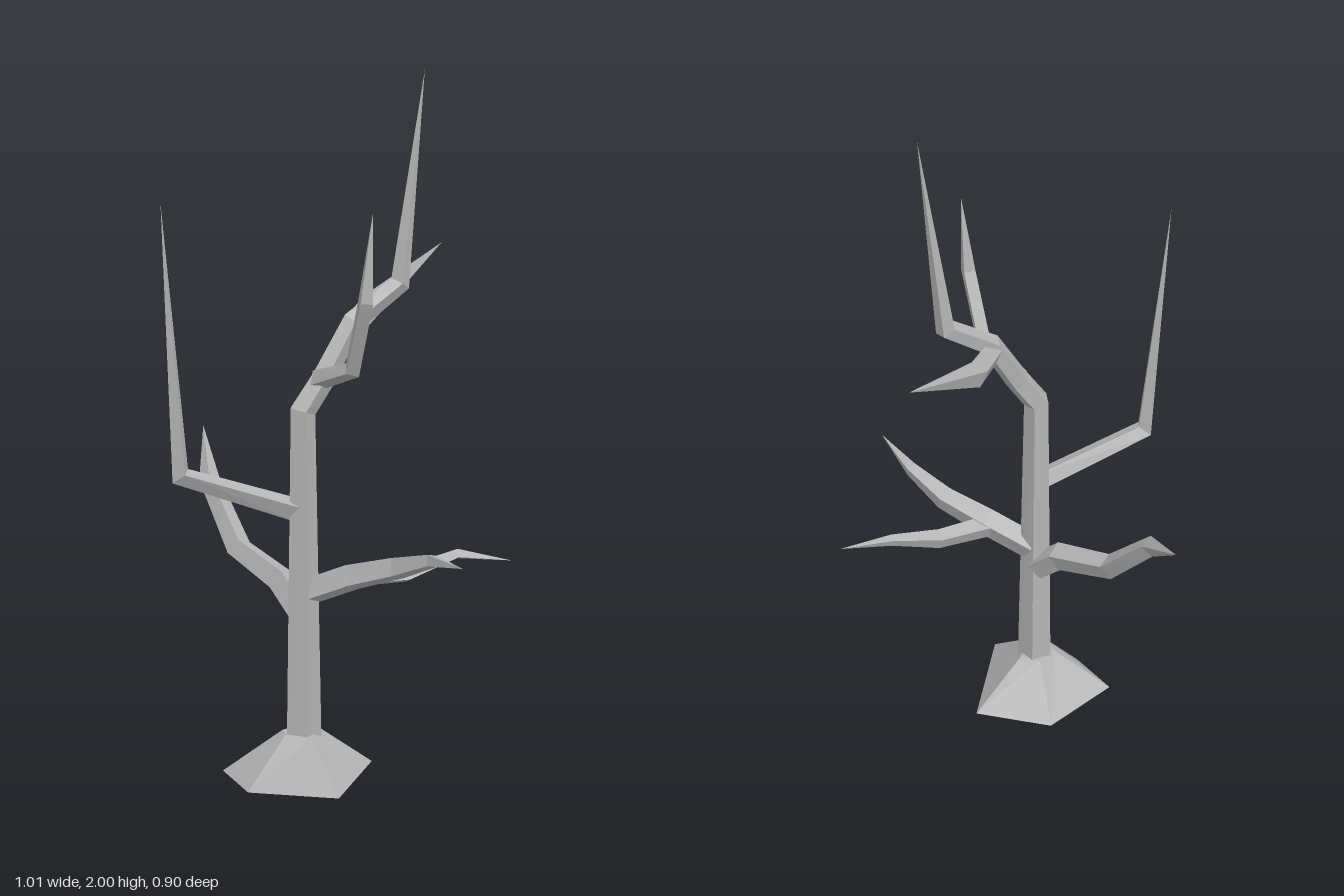
import * as THREE from 'three';

// Skin a list of equal-length rings, each ordered counter-clockwise about the growth direction
function loft(rings, material, name) {
  const pos = [];
  const tri = (a, b, c) => {
    const area = b.clone().sub(a).cross(c.clone().sub(a)).length();
    if (area > 1e-7) pos.push(...a.toArray(), ...b.toArray(), ...c.toArray());
  };
  for (let i = 0; i < rings.length - 1; i++) {
    const lo = rings[i], hi = rings[i + 1], n = lo.length;
    for (let j = 0; j < n; j++) {
      const k = (j + 1) % n;
      tri(lo[j], lo[k], hi[k]);
      tri(lo[j], hi[k], hi[j]);
    }
  }
  const geo = new THREE.BufferGeometry();
  geo.setAttribute('position', new THREE.Float32BufferAttribute(pos, 3));
  geo.computeVertexNormals();
  const mesh = new THREE.Mesh(geo, material);
  mesh.name = name;
  return mesh;
}

// Tapered faceted limb along [x, y, z, radius] points, ending in a sharp tip
function limb(name, points, sides, material, spin = 0) {
  const p = points.map(([x, y, z]) => new THREE.Vector3(x, y, z));
  const dir = i => p[i + 1].clone().sub(p[i]).normalize();
  const last = p.length - 1;
  const u = new THREE.Vector3(1, 0, 0);
  if (Math.abs(dir(0).x) > 0.7) u.set(0, 1, 0);
  const rings = p.map((c, i) => {
    const t = i === 0 ? dir(0) : i === last ? dir(last - 1) : dir(i - 1).add(dir(i)).normalize();
    u.addScaledVector(t, -u.dot(t)).normalize();
    const v = t.clone().cross(u);
    return Array.from({ length: sides }, (_, j) => {
      const a = spin + (j / sides) * Math.PI * 2, r = points[i][3];
      return c.clone().addScaledVector(u, r * Math.cos(a)).addScaledVector(v, r * Math.sin(a));
    });
  });
  // close the start of the limb
  rings.unshift(rings[0].map(() => p[0].clone()));
  return loft(rings, material, name);
}

export function createModel() {
  const tree = new THREE.Group();
  tree.name = 'bareTree';
  const bark = new THREE.MeshStandardMaterial({ color: 0xb4b4b4, flatShading: true });
  bark.name = 'greyBark';

  // Flared root foot: uneven pentagon rising to the trunk
  const foot = [[0.105, 0.015, 0.35], [0.105, 0.012, 0.01], [-0.13, 0.004, 0], [-0.285, 0.01, 0.205], [-0.165, 0, 0.335]]
    .map(a => new THREE.Vector3(...a));
  const centre = new THREE.Vector3(-0.05, 0.01, 0.19);
  const collar = foot.map(f => {
    const d = f.clone().sub(centre).setY(0).setLength(0.058);
    return new THREE.Vector3(centre.x + d.x, 0.145, centre.z + d.z);
  });
  const cap = (y) => foot.map(() => new THREE.Vector3(centre.x, y, centre.z));
  tree.add(loft([cap(0.01), foot, collar, cap(0.15)], bark, 'rootFoot'));

  // Trunk bending into the tall leader
  tree.add(limb('trunk', [
    [-0.05, 0.13, 0.19, 0.054], [-0.05, 1.07, 0.187, 0.039], [0.0, 1.16, 0.15, 0.036],
    [0.065, 1.31, 0.085, 0.033], [0.175, 1.41, -0.01, 0.031], [0.232, 2.0, -0.06, 0],
  ], 5, bark, 0.3));

  // Side limbs, each a list of [x, y, z, radius]
  const limbs = {
    leftBranch: [[-0.05, 0.785, 0.19, 0.034], [-0.35, 0.9, 0.35, 0.031], [-0.402, 1.65, 0.337, 0]],
    backLeftBranch: [[-0.06, 0.49, 0.165, 0.04], [-0.13, 0.565, 0.125, 0.042], [-0.295, 0.625, 0.02, 0.037],
      [-0.425, 0.8, -0.095, 0.03], [-0.51, 0.92, -0.285, 0]],
    frontRightBranch: [[-0.04, 0.55, 0.18, 0.042], [0.1, 0.61, 0.2, 0.042], [0.24, 0.655, 0.24, 0.036],
      [0.355, 0.7, 0.31, 0.022], [0.475, 0.72, 0.45, 0]],
    backRightBranch: [[0.07, 0.605, 0.205, 0.034], [0.23, 0.605, 0.1, 0.029], [0.355, 0.65, 0.01, 0.017],
      [0.502, 0.63, -0.032, 0]],
    upperFrontBranch: [[-0.01, 1.155, 0.165, 0.03], [0.12, 1.205, 0.27, 0.026], [0.175, 1.4, 0.335, 0.024],
      [0.195, 1.635, 0.34, 0]],
    upperBackBranch: [[0.06, 1.285, 0.095, 0.032], [0.072, 1.34, -0.12, 0.036], [0.188, 1.48, -0.45, 0]],
  };
  for (const [name, pts] of Object.entries(limbs)) tree.add(limb(name, pts, 4, bark, 0.4));

  return tree;
}
